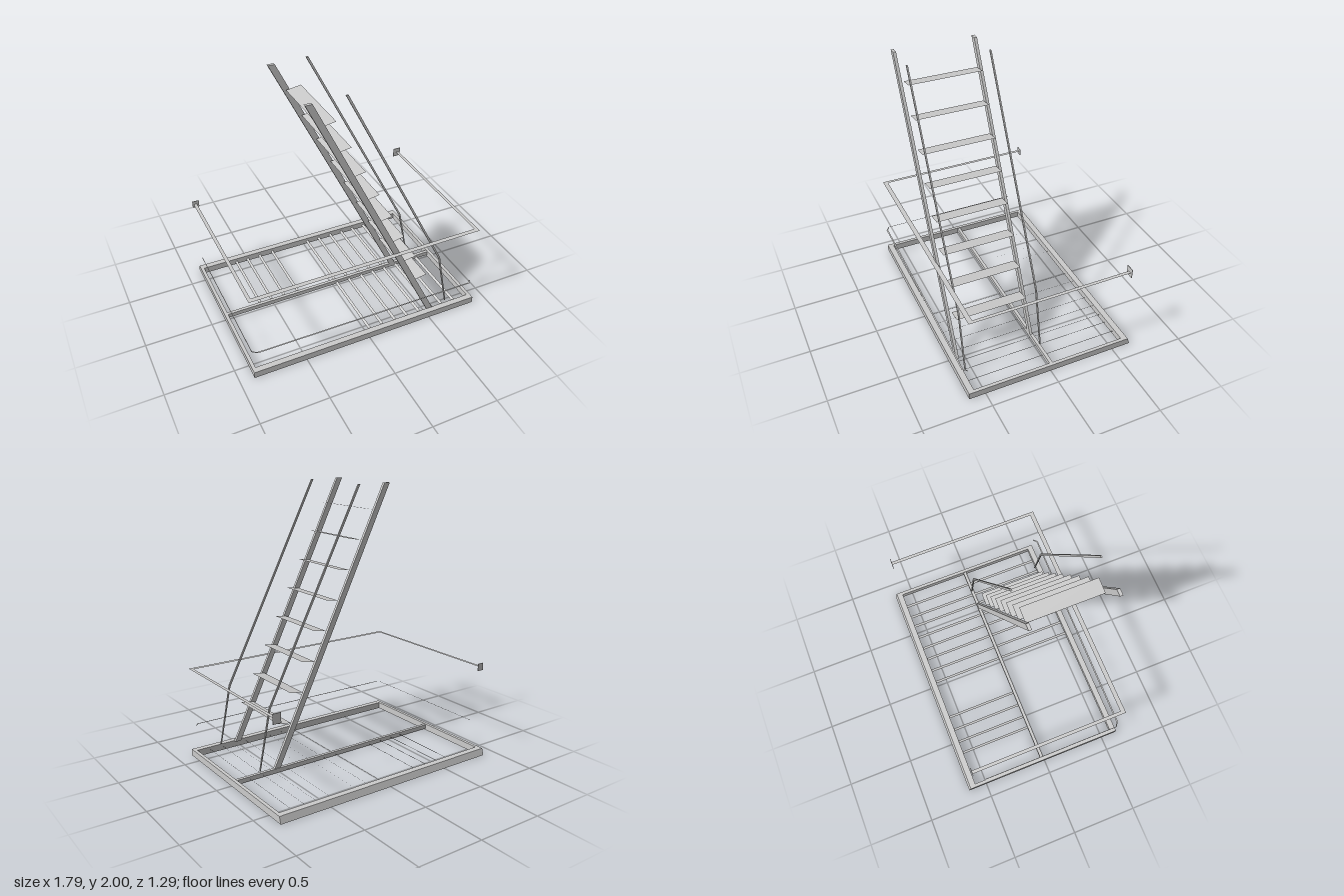
import * as THREE from 'three';

const solid = new THREE.MeshStandardMaterial({ color: 0xcccccc, flatShading: true });
const sheet = new THREE.MeshStandardMaterial({ color: 0xcccccc, flatShading: true, side: THREE.DoubleSide });

// Flat sheet metal strip between two matching edges
function ribbon(name, edgeA, edgeB) {
  const position = [];
  for (let i = 0; i < edgeA.length - 1; i++) {
    const [a, b, c, d] = [edgeA[i], edgeB[i], edgeB[i + 1], edgeA[i + 1]];
    position.push(...a, ...b, ...c, ...a, ...c, ...d);
  }
  const geometry = new THREE.BufferGeometry();
  geometry.setAttribute('position', new THREE.Float32BufferAttribute(position, 3));
  geometry.computeVertexNormals();
  const mesh = new THREE.Mesh(geometry, sheet);
  mesh.name = name;
  return mesh;
}

// Side profile in x-y, given thickness along z
function profile(name, points, z, depth) {
  const shape = new THREE.Shape(points.map(([x, y]) => new THREE.Vector2(x, y)));
  const geometry = new THREE.ExtrudeGeometry(shape, { depth, bevelEnabled: false });
  const mesh = new THREE.Mesh(geometry, solid);
  mesh.position.z = z;
  mesh.name = name;
  return mesh;
}

function box(name, x0, x1, y0, y1, z0, z1) {
  const mesh = new THREE.Mesh(new THREE.BoxGeometry(x1 - x0, y1 - y0, z1 - z0), solid);
  mesh.position.set((x0 + x1) / 2, (y0 + y1) / 2, (z0 + z1) / 2);
  mesh.name = name;
  return mesh;
}

function platformFrame() {
  // Rectangle drawn in x, -z and extruded upwards
  const rect = (x0, x1, z0, z1) =>
    [[x0, -z1], [x1, -z1], [x1, -z0], [x0, -z0]].map(p => new THREE.Vector2(...p));
  const shape = new THREE.Shape(rect(-0.895, 0.885, -0.645, 0.622));
  shape.holes.push(new THREE.Path(rect(-0.87, 0.86, -0.585, 0.578)));
  const geometry = new THREE.ExtrudeGeometry(shape, { depth: 0.05, bevelEnabled: false });
  geometry.rotateX(-Math.PI / 2);
  // The rear face leans in towards the top
  const p = geometry.attributes.position;
  for (let i = 0; i < p.count; i++) {
    if (p.getY(i) > 0.04 && p.getZ(i) < -0.6) p.setZ(i, p.getZ(i) + 0.015);
  }
  geometry.computeVertexNormals();
  const mesh = new THREE.Mesh(geometry, solid);
  mesh.name = 'platformFrame';
  return mesh;
}

export function createModel() {
  const model = new THREE.Group();
  model.name = 'fireEscape';

  // Platform: frame, middle beam and tilted slats, with an opening at the front
  const platform = new THREE.Group();
  platform.name = 'platform';
  platform.add(platformFrame(), box('middleBeam', -0.87, 0.86, 0.012, 0.045, -0.028, -0.004));
  const slat = (x, z0, z1) => platform.add(ribbon('slat',
    [[x - 0.008, 0.018, z0], [x - 0.008, 0.018, z1]],
    [[x + 0.008, 0.032, z0], [x + 0.008, 0.032, z1]]));
  const openingSlats = [-0.6, -0.505, -0.4, -0.288];
  const fullSlats = [0.03, 0.135, 0.243, 0.345, 0.45, 0.557, 0.645, 0.75];
  for (const x of [...openingSlats, ...fullSlats]) slat(x, -0.59, -0.02);
  for (const x of fullSlats) slat(x, -0.01, 0.58);
  model.add(platform);

  // Ladder: two stringers with eight treads
  const ladder = new THREE.Group();
  ladder.name = 'ladder';
  for (const z of [-0.022, 0.56]) {
    ladder.add(profile('stringer',
      [[0.502, 0.045], [0.55, 0.045], [-0.407, 2], [-0.455, 2]], z, 0.021));
  }
  for (let i = 0; i < 8; i++) {
    const x = 0.392 - i * 0.105, y = 0.345 + i * 0.2093;
    ladder.add(ribbon('tread',
      [[x, y, 0.01], [x, y, 0.543]],
      [[x + 0.105, y + 0.017, 0.01], [x + 0.105, y + 0.017, 0.543]]));
  }
  model.add(ladder);

  // Handrails beside the ladder, bent near the foot
  for (const z of [-0.026, 0.558]) {
    model.add(profile('handrail',
      [[-0.187, 2], [0.577, 0.5], [0.667, 0.06], [0.674, 0.06], [0.588, 0.508], [-0.17, 2]], z, 0.01));
  }

  // Flat top guard rail round the front and sides
  const y = 0.685;
  model.add(ribbon('guardRail',
    [[-0.892, y, -0.59], [-0.892, y, 0.61], [0.882, y, 0.61], [0.882, y, -0.59]],
    [[-0.867, y, -0.59], [-0.867, y, 0.576], [0.857, y, 0.576], [0.857, y, -0.59]]));

  // Wall plates at the rear ends of the guard rail
  model.add(box('wallPlate', -0.9, -0.85, 0.657, 0.711, -0.592, -0.588));
  model.add(box('wallPlate', 0.835, 0.895, 0.65, 0.72, -0.592, -0.588));

  // Slim lower rail with clipped corners
  const h = 0.232;
  model.add(ribbon('lowerRail',
    [[-0.897, h, -0.5], [-0.897, h, 0.6], [-0.86, h, 0.628], [0.82, h, 0.645], [0.848, h, 0.615]],
    [[-0.892, h, -0.5], [-0.892, h, 0.596], [-0.86, h, 0.616], [0.815, h, 0.634], [0.838, h, 0.612]]));

  return model;
}
